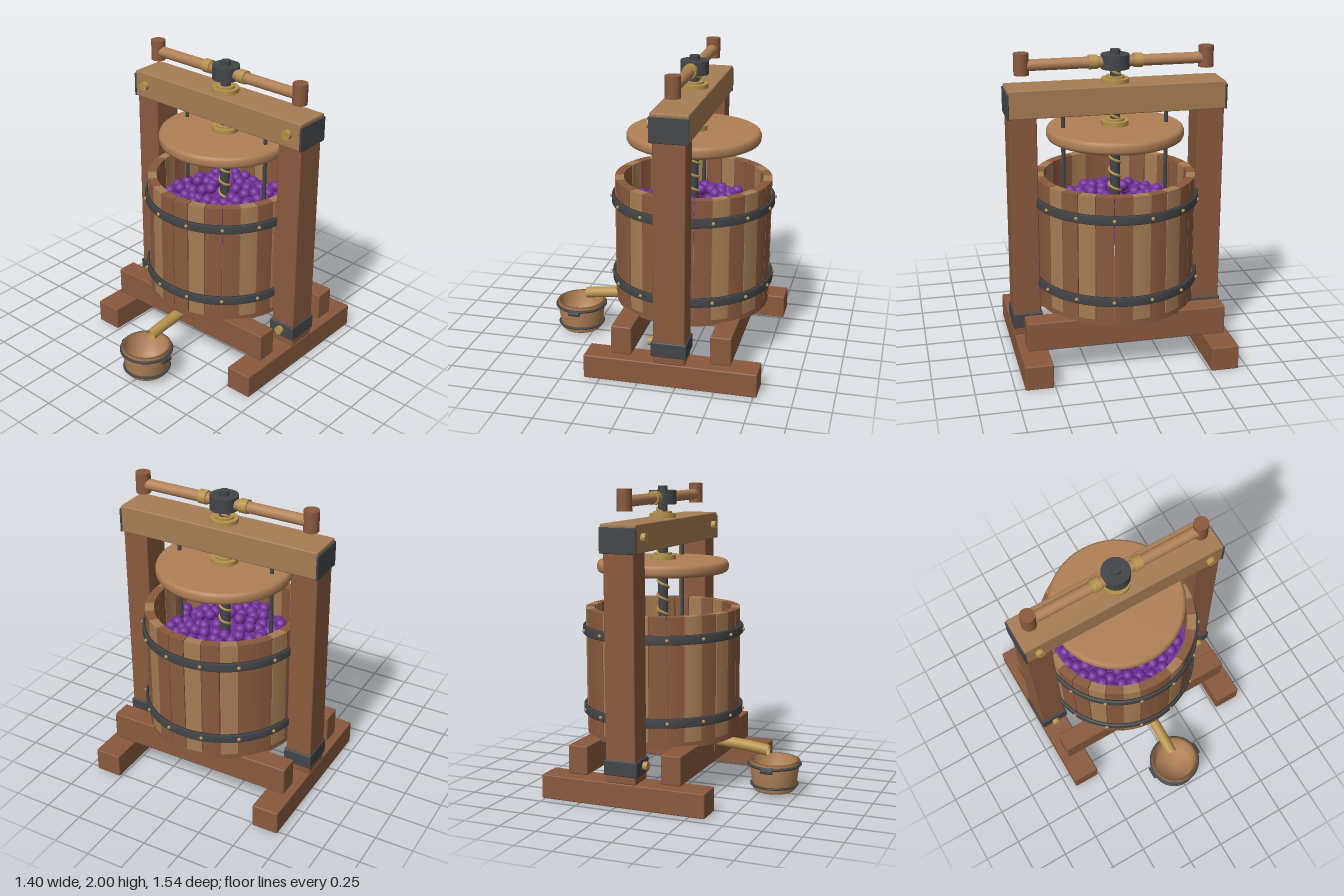
import * as THREE from 'three';
import { RoundedBoxGeometry } from 'three/addons/geometries/RoundedBoxGeometry.js';

const mat = (name, color, side = THREE.FrontSide) => {
  const m = new THREE.MeshStandardMaterial({ color, side });
  m.name = name;
  return m;
};

export function createModel() {
  const brown = mat('brown wood', 0x8a5a3e);
  const oak = mat('light oak', 0xa67d54);
  const pale = mat('warm pale wood', 0xb08056);
  const iron = mat('dark iron', 0x434548);
  const brass = mat('brass', 0xb5924a, THREE.DoubleSide);
  const purple = mat('grape purple', 0x71309a);

  const model = new THREE.Group();
  model.name = 'fruitPress';
  const press = new THREE.Group();
  press.name = 'press';
  press.position.z = -0.208;
  model.add(press);

  const add = (name, geo, material, x = 0, y = 0, z = 0, parent = press) => {
    const m = new THREE.Mesh(geo, material);
    m.name = name;
    m.position.set(x, y, z);
    parent.add(m);
    return m;
  };
  const box = (name, material, w, h, d, x, y, z, parent) =>
    add(name, new RoundedBoxGeometry(w, h, d, 1, Math.min(0.008, w / 3, h / 3, d / 3)), material, x, y, z, parent);
  const cyl = (name, material, r, h, x, y, z, parent, seg = 32) =>
    add(name, new THREE.CylinderGeometry(r, r, h, seg), material, x, y, z, parent);
  // Closed ring with a slightly bevelled section
  const ring = (name, material, r0, r1, h, x, y, z, parent) => {
    const b = Math.min(r1 - r0, h) * 0.3, k = h / 2;
    const pts = [[r0, -k], [r1 - b, -k], [r1, -k + b], [r1, k - b], [r1 - b, k], [r0, k], [r0, -k]];
    return add(name, new THREE.LatheGeometry(pts.map(p => new THREE.Vector2(...p)), 56), material, x, y, z, parent);
  };

  // Frame: feet, posts, straps, bolts, beam caps
  for (const s of [-1, 1]) {
    box('foot', brown, 0.18, 0.16, 1.13, s * 0.6, 0.08, 0);
    box('post', brown, 0.175, 1.46, 0.205, s * 0.602, 0.89, 0);
    box('postStrap', iron, 0.195, 0.1, 0.23, s * 0.6, 0.26, 0);
    box('beamCap', iron, 0.014, 0.162, 0.25, s * 0.694, 1.691, 0);
    box('crossBeam', brown, 1.29, 0.19, 0.135, 0, 0.27, s * 0.323);
    cyl('beamBolt', brass, 0.03, 0.03, s * 0.6, 1.705, 0.137).rotation.x = Math.PI / 2;
    cyl('strapBolt', brass, 0.028, 0.03, s * 0.6, 0.27, 0.137).rotation.x = Math.PI / 2;
    cyl('guideRod', iron, 0.013, 1.25, s * 0.335, 1.0, 0, press, 12);
  }
  box('topBeam', oak, 1.385, 0.18, 0.243, 0, 1.702, 0);

  // Basket: floor, staves, hoops with studs
  cyl('basketFloor', brown, 0.512, 0.045, 0, 0.375, 0, press, 56);
  const basket = new THREE.Group();
  basket.name = 'basket';
  press.add(basket);
  const STAVES = 28, step = Math.PI * 2 / STAVES;
  const half = step / 2 - 0.005;
  const sector = new THREE.Shape();
  sector.absarc(0, 0, 0.516, -half, half, false);
  sector.absarc(0, 0, 0.458, half, -half, true);
  const staveGeo = new THREE.ExtrudeGeometry(sector, { depth: 0.81, bevelEnabled: false, curveSegments: 3 });
  staveGeo.rotateX(-Math.PI / 2);
  for (let i = 0; i < STAVES; i++) {
    const light = i % 5 === 1 || i % 5 === 4;
    add('stave', staveGeo, light ? oak : brown, 0, 0.392, 0, basket).rotation.y = (i + 0.5) * step - Math.PI / 2;
  }
  const studGeo = new THREE.SphereGeometry(0.012, 10, 8);
  for (const y of [0.522, 1.057]) {
    ring('hoop', iron, 0.519, 0.538, 0.06, 0, y, 0, basket);
    for (let i = 0; i < 14; i++) {
      const a = (i + 0.5) * step * 2;
      add('hoopStud', studGeo, brass, Math.sin(a) * 0.54, y, Math.cos(a) * 0.54, basket);
    }
  }

  // Grapes piled in a low mound
  const grapes = new THREE.Group();
  grapes.name = 'grapes';
  press.add(grapes);
  cyl('grapePulp', purple, 0.455, 0.04, 0, 0.92, 0, grapes);
  let seed = 7;
  const rnd = () => (seed = (seed * 16807) % 2147483647) / 2147483647;
  const grapeGeo = new THREE.SphereGeometry(0.038, 14, 10);
  for (let i = 0; i < 110; i++) {
    const r = 0.06 + 0.35 * Math.sqrt(i / 110), a = i * 2.39996;
    const y = 0.95 + 0.1 * (1 - r / 0.42) + rnd() * 0.06;
    add('grape', grapeGeo, purple, Math.cos(a) * r, y, Math.sin(a) * r, grapes);
  }

  // Pressing plate with rounded rim
  const plate = [[0, 1.435], [0.415, 1.435], [0.43, 1.443], [0.438, 1.46], [0.438, 1.49], [0.43, 1.507], [0.415, 1.515], [0, 1.515]];
  add('pressPlate', new THREE.LatheGeometry(plate.map(p => new THREE.Vector2(...p)), 56), pale);
  cyl('plateCollar', brass, 0.087, 0.03, 0, 1.532, 0);
  cyl('plateCollarTop', brass, 0.06, 0.02, 0, 1.55, 0);

  // Screw with helical thread
  cyl('screw', iron, 0.033, 1.0, 0, 1.4, 0, press, 20);
  const turns = 10, pitch = 0.095, helix = [];
  for (let i = 0; i <= turns * 12; i++) {
    const a = i / 12 * Math.PI * 2;
    helix.push(new THREE.Vector3(Math.cos(a) * 0.036, 0.93 + i / 12 * pitch, Math.sin(a) * 0.036));
  }
  add('screwThread', new THREE.TubeGeometry(new THREE.CatmullRomCurve3(helix), turns * 20, 0.009, 6), brass);
  cyl('beamCollar', brass, 0.088, 0.028, 0, 1.806, 0);
  cyl('beamCollarTop', brass, 0.06, 0.015, 0, 1.826, 0);

  // Turning handle
  cyl('handleHub', iron, 0.09, 0.09, 0, 1.925, 0);
  cyl('hubCap', iron, 0.032, 0.05, 0, 1.975, 0, press, 20);
  for (const s of [-1, 1]) {
    cyl('handleBar', pale, 0.036, 0.5, s * 0.31, 1.923, 0).rotation.z = Math.PI / 2;
    cyl('handleCollar', brass, 0.045, 0.055, s * 0.143, 1.925, 0).rotation.z = Math.PI / 2;
    cyl('handleGrip', brown, 0.048, 0.136, s * 0.59, 1.932, 0);
  }

  // Spout through the front beam
  box('spoutBlock', brown, 0.12, 0.1, 0.012, 0, 0.298, 0.184, model);
  const path = new THREE.QuadraticBezierCurve3(
    new THREE.Vector3(0, 0.315, 0.02), new THREE.Vector3(0, 0.318, 0.3), new THREE.Vector3(0, 0.278, 0.545));
  add('spout', new THREE.TubeGeometry(path, 16, 0.037, 20), brass, 0, 0, 0, model);

  // Collecting bucket with hoops and ears
  const bucket = new THREE.Group();
  bucket.name = 'bucket';
  bucket.position.z = 0.588;
  model.add(bucket);
  const wall = [[0, 0.022], [0.13, 0.022], [0.142, 0.035], [0.168, 0.222], [0.146, 0.222], [0.128, 0.05], [0, 0.05]];
  add('bucketBody', new THREE.LatheGeometry(wall.map(p => new THREE.Vector2(...p)), 40).toNonIndexed(), pale, 0, 0, 0, bucket);
  ring('bucketUpperHoop', iron, 0.158, 0.178, 0.018, 0, 0.198, 0, bucket);
  ring('bucketLowerHoop', iron, 0.14, 0.16, 0.014, 0, 0.063, 0, bucket);
  for (const s of [-1, 1]) box('bucketEar', iron, 0.024, 0.028, 0.085, s * 0.18, 0.185, 0, bucket);

  return model;
}
